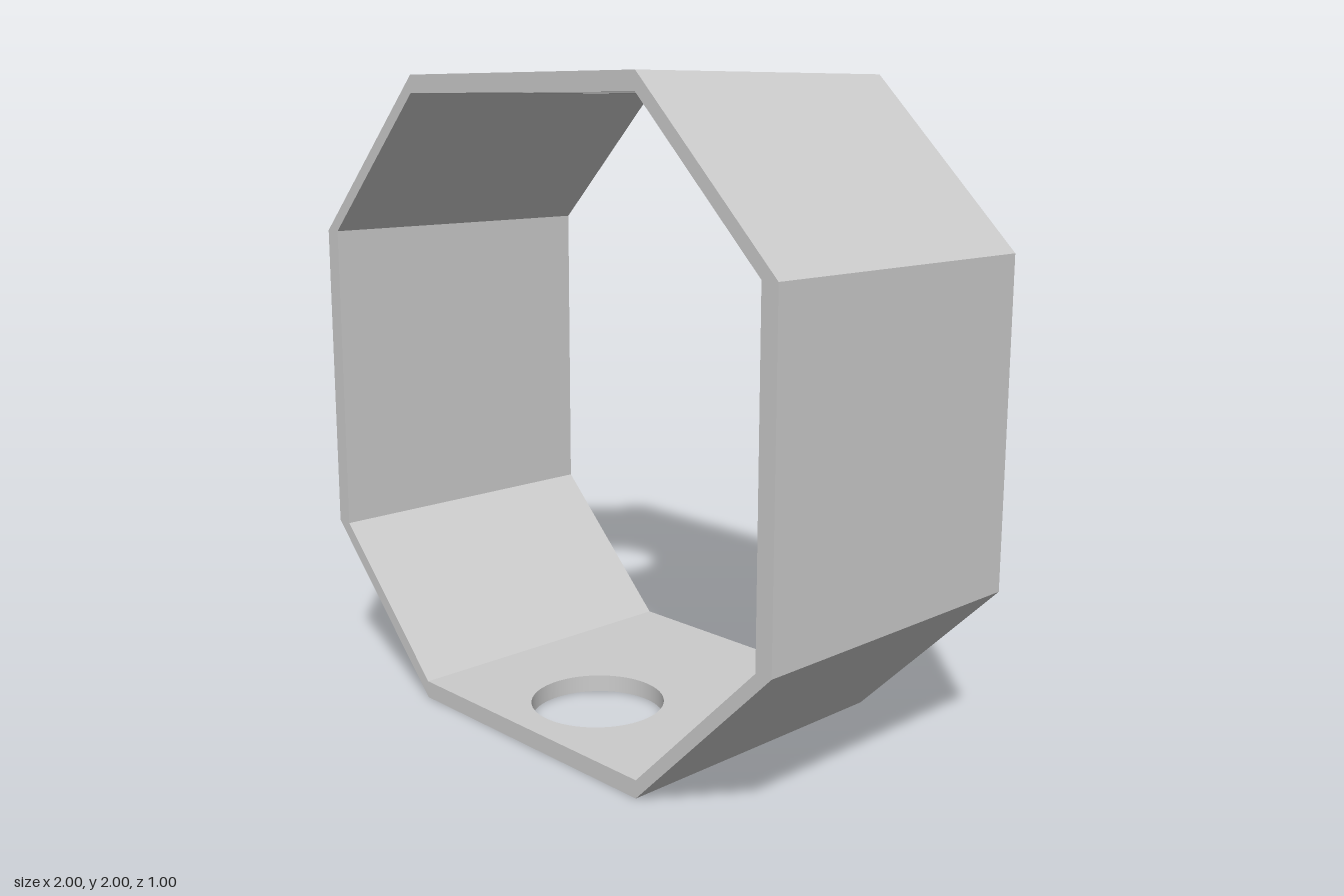
import * as THREE from 'three';
import { mergeGeometries } from 'three/addons/utils/BufferGeometryUtils.js';

const DEPTH = 1, WALL = 0.055, HOLE_R = 0.21, HOLE_Z = 0.2;

// Octagon corners, counter-clockwise from the bottom edge; r is the half width
function octagon(r) {
  const c = 0.5;
  return [[-c, -r], [c, -r], [r, -c], [r, c], [c, r], [-c, r], [-r, c], [-r, -c]]
    .map(([x, y]) => new THREE.Vector2(x, y + 1));
}

// Flat skin standing on edge a-b and running along z, facing right of the edge
function skin(a, b, pierced) {
  const w = a.distanceTo(b), h = DEPTH / 2;
  const shape = new THREE.Shape([[0, -h], [w, -h], [w, h], [0, h]].map(p => new THREE.Vector2(...p)));
  if (pierced) shape.holes.push(new THREE.Path().absarc(w / 2, HOLE_Z, HOLE_R, 0, Math.PI * 2, true));
  const d = b.clone().sub(a).normalize();
  const m = new THREE.Matrix4().makeBasis(
    new THREE.Vector3(d.x, d.y, 0), new THREE.Vector3(0, 0, 1), new THREE.Vector3(d.y, -d.x, 0));
  return new THREE.ShapeGeometry(shape, 32).applyMatrix4(m.setPosition(a.x, a.y, 0));
}

export function createModel() {
  const group = new THREE.Group();
  const material = new THREE.MeshStandardMaterial({ color: 0xcccccc });
  const boreMaterial = new THREE.MeshStandardMaterial({ color: 0xcccccc, side: THREE.DoubleSide });
  const add = (name, geometry, mat = material) => {
    const mesh = new THREE.Mesh(geometry, mat);
    mesh.name = name;
    group.add(mesh);
    return mesh;
  };

  const outer = octagon(1), inner = octagon(1 - WALL);

  // Eight wall panels; the bottom and top ones are pierced
  const names = ['bottomPanel', 'lowerLeftPanel', 'leftPanel', 'upperLeftPanel',
    'topPanel', 'upperRightPanel', 'rightPanel', 'lowerRightPanel'];
  names.forEach((name, i) => {
    const j = (i + 1) % 8, pierced = i % 4 === 0;
    add(name, mergeGeometries([skin(outer[i], outer[j], pierced), skin(inner[j], inner[i], pierced)]));
  });

  // Front and back rims
  const ring = new THREE.Shape(outer);
  ring.holes.push(new THREE.Path(inner));
  add('frontRim', new THREE.ShapeGeometry(ring)).position.z = DEPTH / 2;
  const back = add('backRim', new THREE.ShapeGeometry(ring));
  back.rotation.y = Math.PI;
  back.position.z = -DEPTH / 2;

  // Walls of the round holes
  for (const [name, y] of [['bottomHoleWall', 0], ['topHoleWall', 2 - WALL]]) {
    const profile = [new THREE.Vector2(HOLE_R, WALL), new THREE.Vector2(HOLE_R, 0)];
    add(name, new THREE.LatheGeometry(profile, 64), boreMaterial).position.set(0, y, HOLE_Z);
  }
  return group;
}
